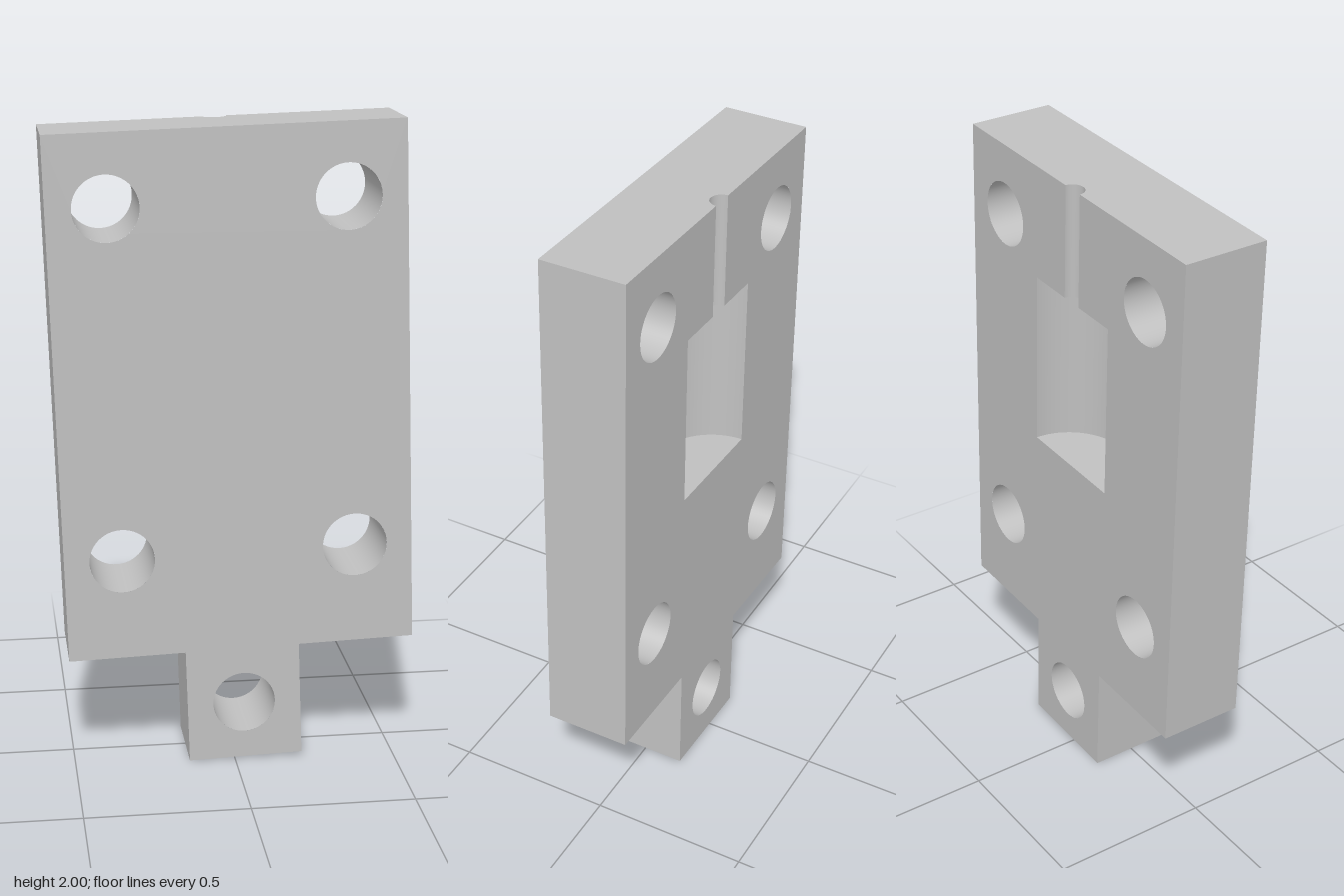
import * as THREE from 'three';

const W = 0.5375, TOP = 0.8075, BOTTOM = -1.17; // plate half width and ends
const TAB = 0.1775;                              // tab half width
const H = 0.134;                                 // half thickness
const POCKET = { r: 0.186, top: 0.45, bottom: -0.107 };
const GROOVE_R = 0.036;

// x, y, radius of the through holes
const HOLES = [
  [-0.36, 0.585, 0.1], [0.36, 0.585, 0.1],
  [-0.36, -0.495, 0.1], [0.36, -0.495, 0.1],
  [0, -0.987, 0.097],
];

// Counter-clockwise outline; the last edge (closing) is the top
const OUTLINE = [
  [-W, TOP], [-W, -TOP], [-TAB, -TOP], [-TAB, BOTTOM],
  [TAB, BOTTOM], [TAB, -TOP], [W, -TOP], [W, TOP],
];

function faceShape(extra = []) {
  const shape = new THREE.Shape([...OUTLINE, ...extra].map(([x, y]) => new THREE.Vector2(x, y)));
  for (const [x, y, r] of HOLES) {
    shape.holes.push(new THREE.Path().absarc(x, y, r, 0, Math.PI * 2, true));
  }
  return shape;
}

// Turns a surface inside out, for bores and recesses
function inward(geometry) {
  geometry.index.array.reverse();
  const n = geometry.attributes.normal.array;
  for (let i = 0; i < n.length; i++) n[i] = -n[i];
  return geometry;
}

function halfTrough(r, y0, y1) {
  const g = new THREE.CylinderGeometry(r, r, y1 - y0, 32, 1, true, -Math.PI / 2, Math.PI);
  return inward(g).translate(0, (y0 + y1) / 2, -H);
}

export function createModel() {
  const model = new THREE.Group();
  model.name = 'mountingPlate';
  const plate = new THREE.Group();
  plate.name = 'tiltedPlate';
  plate.position.set(-0.0025, 1.1755, 0);
  plate.rotation.z = THREE.MathUtils.degToRad(1.83);
  model.add(plate);

  const grey = new THREE.MeshStandardMaterial({ color: 0xc0c0c0 });
  grey.name = 'plainGrey';
  const add = (name, geometry) => {
    const mesh = new THREE.Mesh(geometry, grey);
    mesh.name = name;
    plate.add(mesh);
  };

  // Front face, and back face with the groove and pocket cut from its top edge
  add('frontFace', new THREE.ShapeGeometry(faceShape(), 48).translate(0, 0, H));
  const { r, top, bottom } = POCKET;
  const cut = [
    [GROOVE_R, TOP], [GROOVE_R, top], [r, top], [r, bottom],
    [-r, bottom], [-r, top], [-GROOVE_R, top], [-GROOVE_R, TOP],
  ];
  add('backFace', new THREE.ShapeGeometry(faceShape(cut), 48).rotateY(Math.PI).translate(0, 0, -H));

  // Side walls along every outline edge except the top
  for (let i = 0; i < OUTLINE.length - 1; i++) {
    const [x0, y0] = OUTLINE[i], [x1, y1] = OUTLINE[i + 1];
    add('sideWall', new THREE.PlaneGeometry(Math.hypot(x1 - x0, y1 - y0), 2 * H)
      .rotateX(Math.PI / 2)
      .rotateZ(Math.atan2(y1 - y0, x1 - x0))
      .translate((x0 + x1) / 2, (y0 + y1) / 2, 0));
  }

  // Top wall, notched by the groove
  const topShape = new THREE.Shape();
  topShape.moveTo(-W, -H).lineTo(W, -H).lineTo(W, H).lineTo(GROOVE_R, H);
  topShape.absarc(0, H, GROOVE_R, 0, -Math.PI, true);
  topShape.lineTo(-W, H);
  add('topWall', new THREE.ShapeGeometry(topShape, 32).rotateX(-Math.PI / 2).translate(0, TOP, 0));

  // Bores of the through holes
  for (const [x, y, radius] of HOLES) {
    const bore = new THREE.CylinderGeometry(radius, radius, 2 * H, 48, 1, true);
    add('holeBore', inward(bore).rotateX(Math.PI / 2).translate(x, y, 0));
  }

  // Half-round pocket and groove in the back
  add('pocketWall', halfTrough(r, bottom, top));
  add('grooveWall', halfTrough(GROOVE_R, top, TOP));

  const floor = new THREE.Shape().absarc(0, 0, r, Math.PI, 2 * Math.PI, false);
  add('pocketFloor', new THREE.ShapeGeometry(floor, 32).rotateX(-Math.PI / 2).translate(0, bottom, -H));

  const ceiling = new THREE.Shape();
  ceiling.absarc(0, 0, r, 0, Math.PI, false);
  ceiling.absarc(0, 0, GROOVE_R, Math.PI, 0, true);
  add('pocketCeiling', new THREE.ShapeGeometry(ceiling, 32).rotateX(Math.PI / 2).translate(0, top, -H));

  return model;
}
